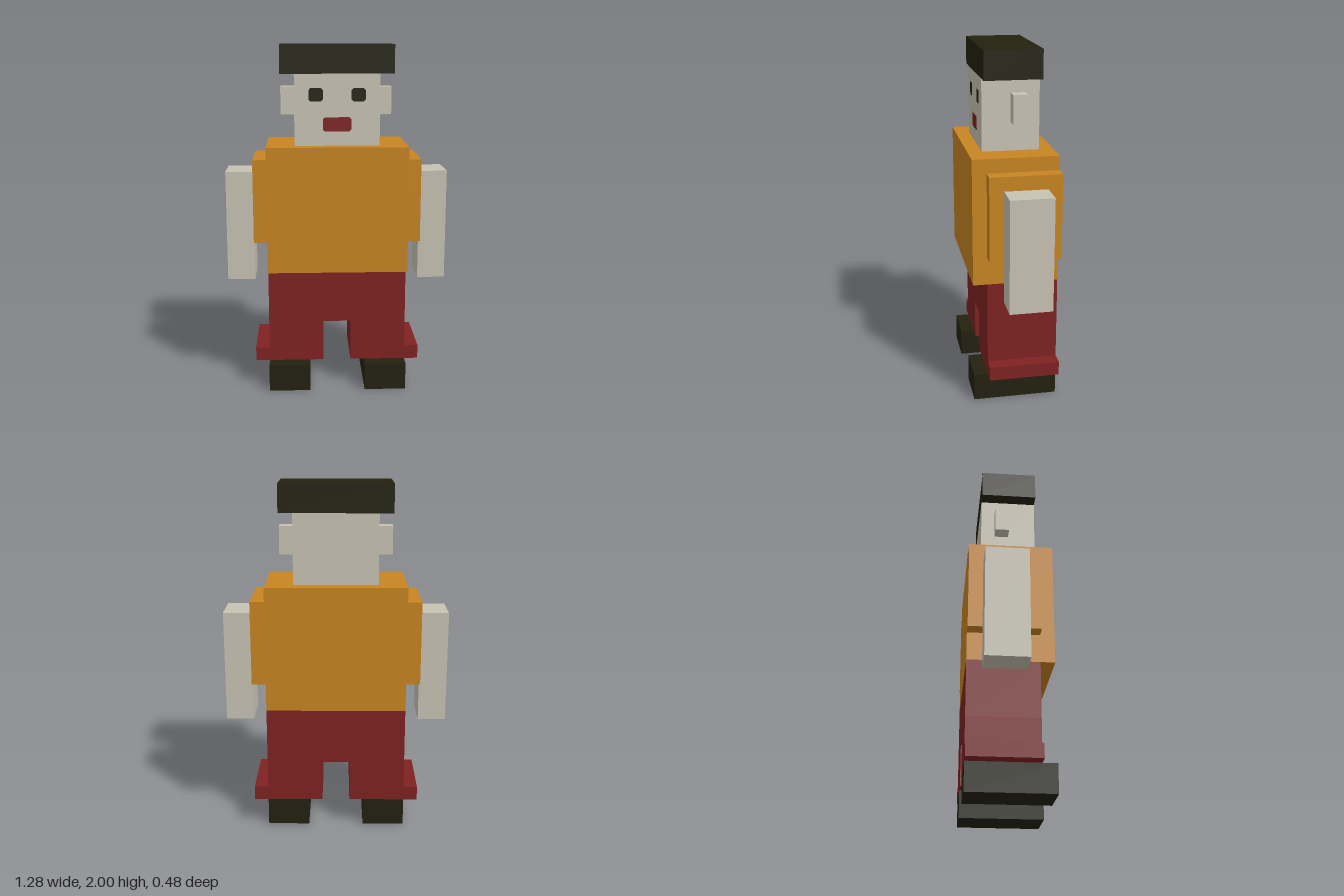
import * as THREE from 'three';

const mat = (name, color) => {
  const m = new THREE.MeshStandardMaterial({ color });
  m.name = name;
  return m;
};

export function createModel() {
  const model = new THREE.Group();
  model.name = 'blockFigure';
  const skin = mat('skin', 0xc8c3b3);
  const shirt = mat('shirt', 0xc88521);
  const trousers = mat('trousers', 0x802222);
  const dark = mat('dark', 0x23210f);

  // Box given by its lower and upper corners
  const block = (name, material, [x0, y0, z0], [x1, y1, z1]) => {
    const geo = new THREE.BoxGeometry(x1 - x0, y1 - y0, z1 - z0);
    const mesh = new THREE.Mesh(geo, material);
    mesh.position.set((x0 + x1) / 2, (y0 + y1) / 2, (z0 + z1) / 2);
    mesh.name = name;
    model.add(mesh);
  };

  // Box on the left side plus its mirror on the right
  const pair = (name, material, a, b) => {
    block(name + 'Left', material, a, b);
    block(name + 'Right', material, [-b[0], a[1], a[2]], [-a[0], b[1], b[2]]);
  };

  // Flat face detail with slightly clipped corners, just proud of the head
  const patch = (name, material, x, y, w, h, c = 0.012) => {
    const a = w / 2, b = h / 2;
    const corners = [[a - c, -b], [a, c - b], [a, b - c], [a - c, b],
      [c - a, b], [-a, b - c], [-a, c - b], [c - a, -b]];
    const shape = new THREE.Shape(corners.map(([u, v]) => new THREE.Vector2(u, v)));
    const mesh = new THREE.Mesh(new THREE.ShapeGeometry(shape), material);
    mesh.position.set(x, y, 0.162);
    mesh.name = name;
    model.add(mesh);
  };

  // Head
  block('hair', dark, [-0.32, 1.84, -0.16], [0.32, 2, 0.16]);
  block('head', skin, [-0.24, 1.44, -0.16], [0.24, 1.84, 0.16]);
  pair('ear', skin, [0.24, 1.6, -0.08], [0.32, 1.76, 0]);
  patch('eyeLeft', dark, 0.12, 1.725, 0.08, 0.075);
  patch('eyeRight', dark, -0.12, 1.725, 0.08, 0.075);
  patch('mouth', trousers, 0, 1.56, 0.16, 0.08);

  // Upper body
  block('torso', shirt, [-0.4, 0.72, -0.24], [0.4, 1.44, 0.24]);
  pair('sleeve', shirt, [0.4, 0.88, -0.24], [0.48, 1.36, 0.16]);
  pair('arm', skin, [0.48, 0.64, -0.16], [0.64, 1.28, 0.08]);

  // Lower body
  block('hips', trousers, [-0.4, 0.4, -0.24], [0.4, 0.72, 0.16]);
  pair('leg', trousers, [0.08, 0.16, -0.24], [0.4, 0.4, 0.16]);
  pair('cuff', trousers, [0.4, 0.16, -0.24], [0.48, 0.24, 0.16]);
  pair('shoe', dark, [0.16, 0, -0.24], [0.4, 0.16, 0.24]);

  return model;
}
